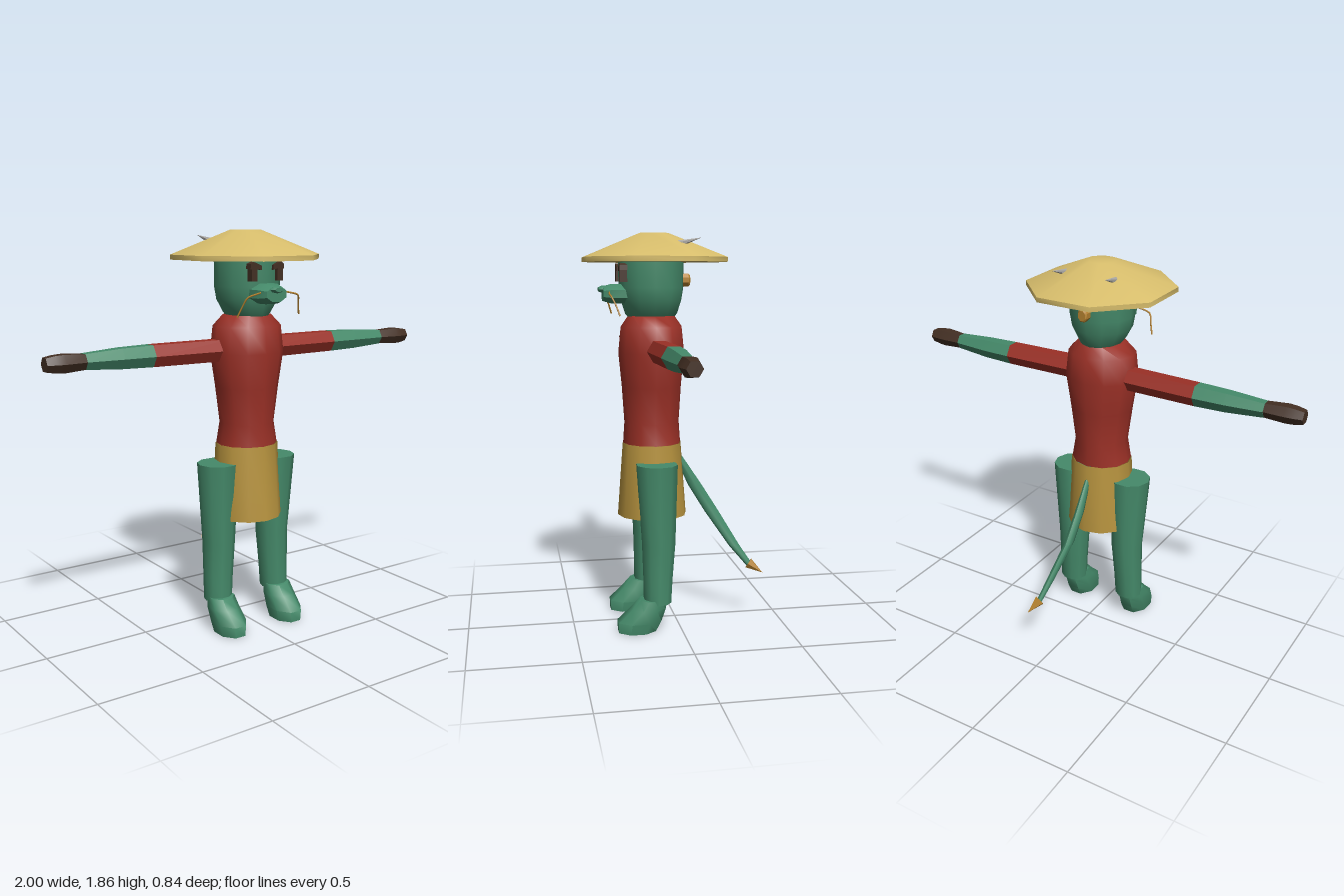
import * as THREE from 'three';
import { toCreasedNormals } from 'three/addons/utils/BufferGeometryUtils.js';

const mat = (name, color, side = THREE.FrontSide) => {
  const m = new THREE.MeshStandardMaterial({ color, side });
  m.name = name;
  return m;
};

// Skin through stations [y, cx, cz, rx, rz], listed from bottom to top
function loft(stations, n, { phase = 0, caps = true, crease = 0.87 } = {}) {
  const pos = [], idx = [];
  for (const [y, cx, cz, rx, rz] of stations) {
    for (let i = 0; i < n; i++) {
      const a = phase + (i / n) * Math.PI * 2;
      pos.push(cx + rx * Math.cos(a), y, cz + rz * Math.sin(a));
    }
  }
  const last = stations.length - 1;
  for (let s = 0; s < last; s++) {
    for (let i = 0; i < n; i++) {
      const a = s * n + i, b = s * n + ((i + 1) % n);
      idx.push(a, a + n, b + n, a, b + n, b);
    }
  }
  if (caps) {
    for (let i = 1; i < n - 1; i++) {
      idx.push(0, i, i + 1);
      idx.push(last * n, last * n + i + 1, last * n + i);
    }
  }
  const g = new THREE.BufferGeometry();
  g.setAttribute('position', new THREE.Float32BufferAttribute(pos, 3));
  g.setIndex(idx);
  return toCreasedNormals(g, crease);
}

export function createModel() {
  const group = new THREE.Group();
  const green = mat('green skin', 0x458a6a);
  const red = mat('red shirt', 0x9a3026);
  const gold = mat('ochre cloth', 0xb8943f, THREE.DoubleSide);
  const straw = mat('straw', 0xd8be6c);
  const brown = mat('dark brown', 0x432f23);
  const grey = mat('horn grey', 0xa9a7a3);
  const amber = mat('amber', 0xb5822f);

  const add = (name, geometry, material) => {
    const mesh = new THREE.Mesh(geometry, material);
    mesh.name = name;
    group.add(mesh);
    return mesh;
  };
  // Cone running from a base point to a tip
  const spike = (name, from, to, r, sides, material) => {
    const a = new THREE.Vector3(...from), b = new THREE.Vector3(...to);
    const d = b.clone().sub(a);
    const mesh = add(name, toCreasedNormals(new THREE.ConeGeometry(r, d.length(), sides), 0.6), material);
    mesh.position.copy(a).add(b).multiplyScalar(0.5);
    mesh.quaternion.setFromUnitVectors(new THREE.Vector3(0, 1, 0), d.normalize());
  };

  // Torso and skirt
  const Z = 0.112;
  add('torso', loft([
    [0.88, 0, Z, 0.145, 0.138], [0.98, 0, Z, 0.126, 0.131], [1.15, 0, Z, 0.15, 0.142],
    [1.31, 0, Z, 0.176, 0.157], [1.43, 0, Z, 0.163, 0.145], [1.48, 0, Z, 0.112, 0.11],
  ], 12), red);
  add('skirt', loft([[0.53, 0, Z, 0.165, 0.166], [0.88, 0, Z, 0.149, 0.14]], 12, { caps: false }), gold);

  // Head
  add('head', loft([
    [1.46, 0, Z, 0.08, 0.1], [1.49, 0, Z, 0.105, 0.123], [1.55, 0, Z, 0.14, 0.143],
    [1.61, 0, Z, 0.15, 0.153], [1.74, 0, Z, 0.15, 0.155],
  ], 12), green);

  // Muzzle, lofted upward and then tipped forward
  const muzzle = add('muzzle', loft([
    [0.22, 0, 0, 0.083, 0.049], [0.3, 0, 0, 0.08, 0.048], [0.34, 0, 0, 0.058, 0.036],
  ], 8, { phase: Math.PI / 8, crease: 0.6 }).rotateX(Math.PI / 2), green);
  muzzle.position.y = 1.582;
  const nose = add('nose', loft([
    [0.29, 0, 0, 0.04, 0.018], [0.345, 0, 0, 0.036, 0.016], [0.36, 0, 0, 0.024, 0.01],
  ], 8, { crease: 0.6 }).rotateX(Math.PI / 2), green);
  nose.position.y = 1.603;

  // Straw hat with flat underside
  const R = 1 / Math.cos(Math.PI / 8);
  add('hat', loft([
    [1.728, 0, 0.1, 0.32 * R, 0.323 * R], [1.75, 0, 0.1, 0.32 * R, 0.323 * R],
    [1.86, 0, 0.1, 0.065 * R, 0.065 * R],
  ], 8, { phase: Math.PI / 8 }), straw);

  // Knot at the back of the head
  const knot = add('knot', loft([
    [0, 0, 0, 0.026, 0.032], [0.045, 0, 0, 0.026, 0.032], [0.053, 0, 0, 0.02, 0.025],
  ], 8, { phase: Math.PI / 8, crease: 0.6 }).rotateX(-Math.PI / 2), amber);
  knot.position.set(0, 1.645, -0.018);

  for (const s of [-1, 1]) {
    // Brow and eye
    const plate = (name, points) => {
      const shape = new THREE.Shape(points.map(([x, y]) => new THREE.Vector2(x * s, y)));
      const mesh = add(name, new THREE.ExtrudeGeometry(shape, { depth: 0.035, bevelEnabled: false }), brown);
      mesh.position.z = 0.235;
    };
    plate('brow', [[0.092, 1.69], [0.09, 1.712], [0.075, 1.722], [0.032, 1.705], [0.032, 1.685], [0.06, 1.692]]);
    plate('eye', [[0.085, 1.637], [0.085, 1.692], [0.056, 1.692], [0.056, 1.637]]);

    // Whisker
    const curve = new THREE.CatmullRomCurve3([
      [0.07, 1.59, 0.315], [0.105, 1.583, 0.32], [0.138, 1.572, 0.315], [0.153, 1.535, 0.297], [0.17, 1.485, 0.28],
    ].map(([x, y, z]) => new THREE.Vector3(x * s, y, z)));
    add('whisker', new THREE.TubeGeometry(curve, 10, 0.004, 5), amber);

    // Horn through the hat
    spike('horn', [s * 0.125, 1.805, 0.015], [s * 0.135, 1.836, -0.1], 0.017, 6, grey);

    // Arm: sleeve, forearm and glove
    const arm = (name, stations, material) => add(name, loft(
      stations.map(([x, z, r, k = 1]) => [x, -s * 1.323, z, r * k, r]), 6, { phase: Math.PI / 6 },
    ).rotateZ(-s * Math.PI / 2).applyMatrix4(new THREE.Matrix4()), material);
    const place = (list) => (s > 0 ? list : list.map(([x, ...rest]) => [-x, ...rest]).reverse());
    const limb = (name, list, material) => {
      // Both sides are lofted from low to high x, so the winding stays outward
      const st = place(list).map(([x, z, r]) => [x, -1.323, z, r * 0.98, r]);
      add(name, loft(st, 6, { phase: Math.PI / 6 }).rotateZ(-Math.PI / 2), material);
    };
    limb('sleeve', [[0.1, 0.102, 0.058], [0.5, 0.094, 0.056]], red);
    limb('forearm', [[0.5, 0.094, 0.056], [0.65, 0.095, 0.052], [0.825, 0.1, 0.039]], green);
    limb('glove', [[0.82, 0.101, 0.038], [0.92, 0.106, 0.045], [0.96, 0.106, 0.042], [1, 0.105, 0.034]], brown);

    // Leg and foot
    add('leg', loft([
      [0.135, s * 0.165, 0.113, 0.067, 0.066], [0.25, s * 0.162, 0.11, 0.07, 0.07],
      [0.42, s * 0.155, 0.105, 0.076, 0.08], [0.8, s * 0.162, 0.113, 0.098, 0.098],
    ], 10), green);
    add('foot', loft([
      [0, s * 0.163, 0.212, 0.071, 0.095], [0.05, s * 0.163, 0.2, 0.078, 0.11],
      [0.11, s * 0.165, 0.157, 0.073, 0.086], [0.155, s * 0.165, 0.137, 0.066, 0.064],
    ], 8, { phase: Math.PI / 8 }), green);
  }

  // Tail with pointed tip
  add('tail', loft([
    [0.25, 0.076, -0.37, 0.013, 0.016], [0.36, 0.05, -0.287, 0.018, 0.026],
    [0.53, 0.008, -0.18, 0.02, 0.034], [0.66, 0, -0.1, 0.019, 0.033], [0.81, 0, -0.015, 0.012, 0.018],
  ], 8), green);
  spike('tailTip', [0.07, 0.272, -0.355], [0.097, 0.228, -0.42], 0.027, 6, amber);

  return group;
}
